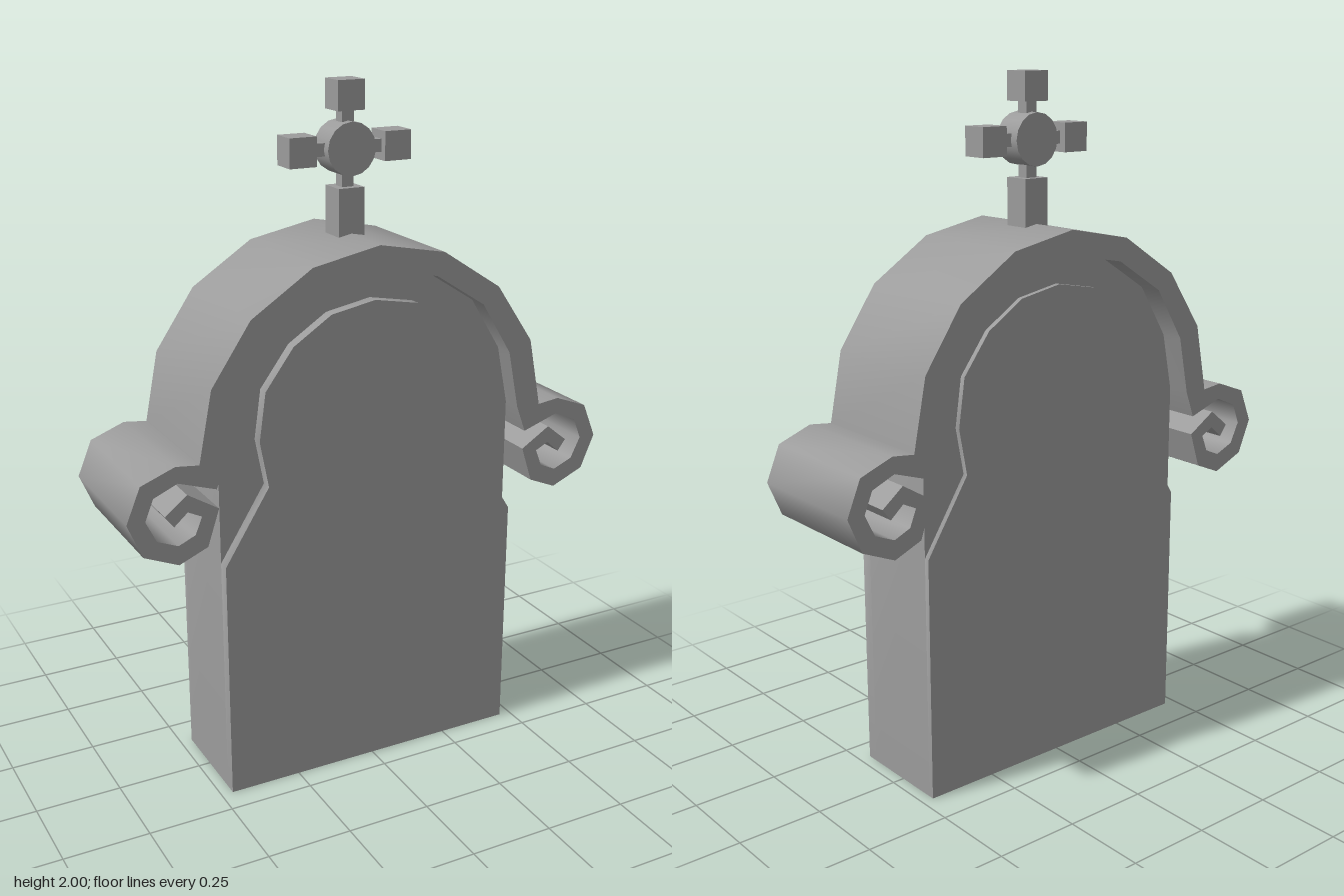
import * as THREE from 'three';
import { toCreasedNormals } from 'three/addons/utils/BufferGeometryUtils.js';

const mat = new THREE.MeshStandardMaterial({ color: 0x9b9b9b });

function add(parent, name, geometry, x = 0, y = 0, z = 0) {
  const mesh = new THREE.Mesh(geometry, mat);
  mesh.name = name;
  mesh.position.set(x, y, z);
  parent.add(mesh);
  return mesh;
}

// Closed symmetric outline from its +x half, listed bottom to top
function mirrored(half) {
  const left = half.filter(([x]) => x > 0).map(([x, y]) => [-x, y]).reverse();
  return [...half, ...left];
}

// Outline extruded between two depths
function slab(points, back, front) {
  const shape = new THREE.Shape(points.map(([x, y]) => new THREE.Vector2(x, y)));
  const g = new THREE.ExtrudeGeometry(shape, { depth: front - back, bevelEnabled: false });
  g.translate(0, 0, back);
  return toCreasedNormals(g, 0.85);
}

// Underside of the hood, shared with the top of the stone
const archInner = [[0.465, 1.05], [0.43, 1.222], [0.335, 1.377], [0.18, 1.477], [0, 1.511]];
const archOuter = [[0, 1.582], [0.203, 1.542], [0.385, 1.423], [0.502, 1.25], [0.542, 1.047]];

// Curled end: round the outside to the tip, then back along the inside
const scroll = [
  [0.61, 1.055], [0.71, 1.017], [0.752, 0.915], [0.71, 0.815], [0.61, 0.772], [0.525, 0.808],
  [0.49, 0.914], [0.58, 0.97], [0.645, 0.918], [0.62, 0.885], [0.58, 0.92], [0.54, 0.9],
  [0.56, 0.85], [0.61, 0.828], [0.67, 0.853], [0.7, 0.915], [0.675, 0.977], [0.605, 1.007], [0.495, 0.97],
];

// Raised face of the stone
const panel = [
  [0.465, 0], [0.465, 0.72], [0.33, 0.935], [0.355, 1.07], [0.335, 1.21],
  [0.25, 1.325], [0.135, 1.4], [0, 1.425],
];

export function createModel() {
  const model = new THREE.Group();
  model.name = 'gravestone';

  // Stone: recessed border body with a raised panel front and back
  const stone = new THREE.Group();
  stone.name = 'stone';
  model.add(stone);
  add(stone, 'stoneBody', slab(mirrored([[0.465, 0], ...archInner]), -0.13, 0.14));
  add(stone, 'frontPanel', slab(mirrored(panel), 0.14, 0.174));
  add(stone, 'backPanel', slab(mirrored(panel), -0.146, -0.13));

  // Hood: arched band ending in a scroll on each side
  const rightRun = [...archOuter, ...scroll, ...archInner];
  const leftRun = rightRun.slice(1, -1).map(([x, y]) => [-x, y]).reverse();
  const hood = [...rightRun, ...leftRun];
  add(model, 'scrolledHood', slab(hood, -0.2, 0.2));

  // Cross: post, thin bars, disc and block ends
  const cross = new THREE.Group();
  cross.name = 'cross';
  cross.position.set(0, 1.815, -0.006);
  model.add(cross);
  add(cross, 'post', new THREE.BoxGeometry(0.08, 0.15, 0.08), 0, -0.181);
  add(cross, 'uprightBar', new THREE.BoxGeometry(0.036, 0.24, 0.036));
  add(cross, 'crossBar', new THREE.BoxGeometry(0.24, 0.036, 0.036));
  const disc = new THREE.CylinderGeometry(0.074, 0.074, 0.086, 16);
  disc.rotateX(Math.PI / 2);
  add(cross, 'disc', disc);
  const block = new THREE.BoxGeometry(0.082, 0.082, 0.078);
  add(cross, 'topBlock', block, 0, 0.144);
  for (const s of [-1, 1]) add(cross, s > 0 ? 'leftBlock' : 'rightBlock', block, s * 0.146, 0);

  return model;
}
